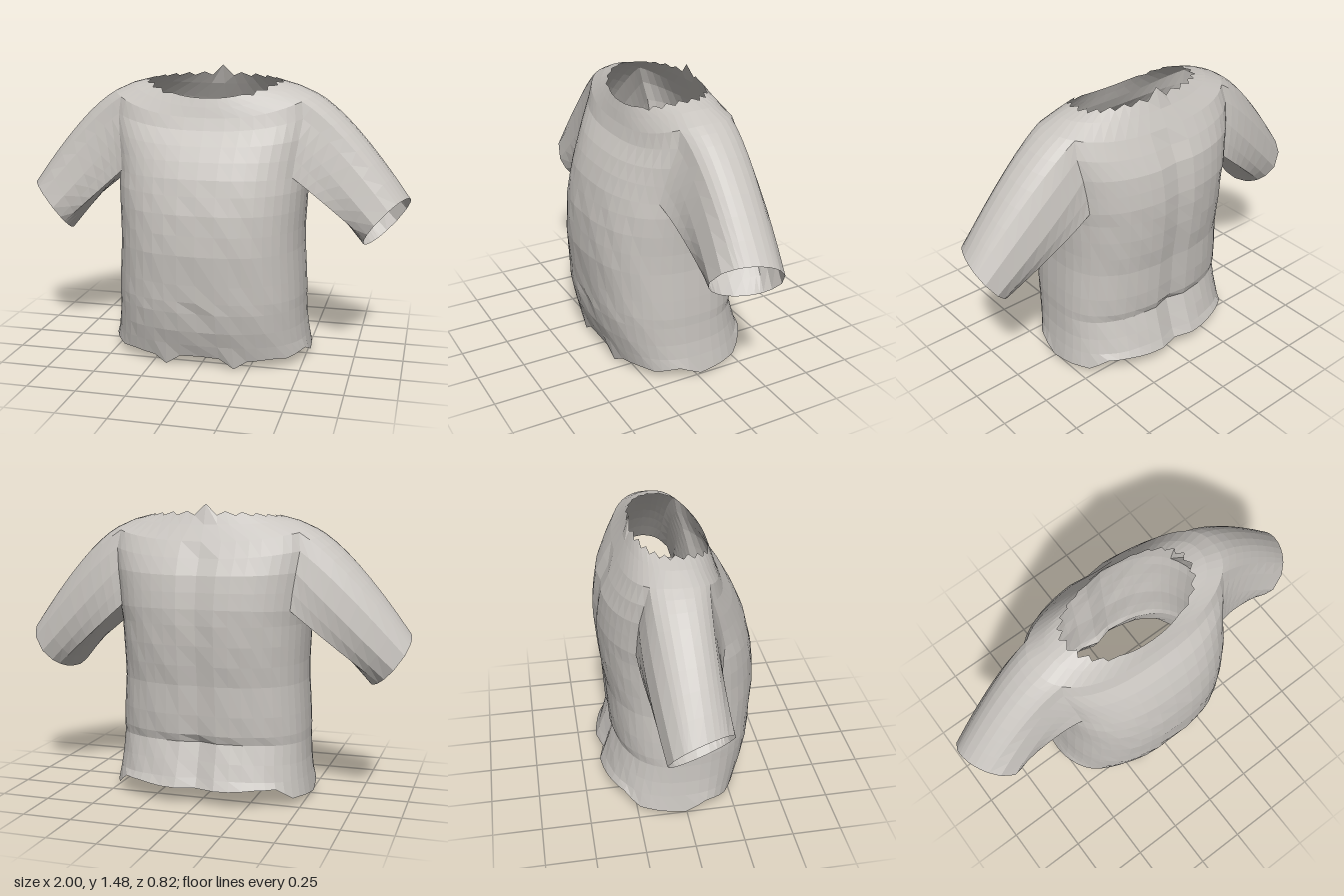
import * as THREE from 'three';

const COLS = 48, HALF = COLS / 2, ARM = 4;   // columns round the body, armhole half-width in columns
const ARM_LOW = 10, ARM_TOP = 14;            // body rows bounding the armholes

// Body rows: side y, front y, back y, half width, front z, back z
const ROWS = [
  [0.05, 0.05, 0.05, 0.52, 0.32, -0.41],
  [0.12, 0.12, 0.14, 0.505, 0.345, -0.39],
  [0.20, 0.20, 0.22, 0.495, 0.37, -0.365],
  [0.30, 0.30, 0.31, 0.49, 0.39, -0.335],
  [0.35, 0.36, 0.35, 0.49, 0.395, -0.347],
  [0.45, 0.45, 0.45, 0.485, 0.40, -0.355],
  [0.60, 0.60, 0.60, 0.475, 0.41, -0.36],
  [0.70, 0.70, 0.70, 0.475, 0.405, -0.375],
  [0.80, 0.80, 0.80, 0.48, 0.395, -0.385],
  [0.90, 0.89, 0.90, 0.485, 0.375, -0.39],
  [0.97, 0.97, 0.98, 0.49, 0.355, -0.39],
  [1.06, 1.05, 1.06, 0.50, 0.32, -0.38],
  [1.16, 1.12, 1.14, 0.515, 0.28, -0.365],
  [1.27, 1.19, 1.22, 0.53, 0.225, -0.325],
  [1.36, 1.25, 1.30, 0.52, 0.20, -0.28],
  [1.40, 1.30, 1.38, 0.43, 0.185, -0.235],
  [1.425, 1.345, 1.445, 0.33, 0.17, -0.20],
];

// Torn hem heights from front centre to back centre
const HEM = [0.055, 0.05, 0, 0.04, 0.045, 0.05, 0.05, 0.045, 0.055, 0.065, 0.07, 0.05, 0.02,
  0.03, 0.035, 0.04, 0.04, 0.07, 0.1, 0.1, 0.1, 0.095, 0.09, 0.09, 0.09];

const spow = (v, e) => Math.sign(v) * Math.pow(Math.abs(v), e);
const wrap = (c) => (c + COLS) % COLS;
// Columns counted from the front centre, equal on both sides
const fromFront = (c) => {
  const d = Math.abs(c - COLS / 4);
  return Math.min(d, COLS - d);
};

function bodyRings() {
  const rings = ROWS.map(([ySide, yFront, yBack, w, zf, zb], r) => {
    const ring = [];
    const zc = r < ARM_LOW ? -0.01 : -0.035;
    const e = r <= ARM_TOP ? 0.8 : 0.9;
    for (let c = 0; c < COLS; c++) {
      const a = (c / COLS) * Math.PI * 2, s = Math.sin(a), j = fromFront(c);
      const y = ySide + ((s > 0 ? yFront : yBack) - ySide) * s * s;
      const p = new THREE.Vector3(w * spow(Math.cos(a), e), y,
        zc + Math.abs((s > 0 ? zf : zb) - zc) * spow(s, e));
      // Soft uneven folds
      if (r > 0 && r < ARM_LOW) p.z *= 1 + 0.005 * Math.sin(j * 1.9 + r * 2.3);
      // Spine groove, deeper below the waist, and a navel dimple
      if (j === HALF && r < ARM_TOP) p.z += r < 4 ? 0.03 : 0.014;
      if (j === 0 && r === 3) p.z -= 0.012;
      if (r === 0) p.y = HEM[j];
      ring.push(p);
    }
    return ring;
  });
  // Ragged teeth round the sides and back of the neck
  const top = rings.length - 1;
  rings[top].forEach((p, c) => {
    const j = fromFront(c);
    if (j > 4) p.lerpVectors(rings[top - 1][c], p.clone(), j % 2 ? 0.7 : 1);
    if (j === HALF) p.y += 0.035;
  });
  return rings;
}

// Join closed rings of points into a surface; side -1 mirrors it in x
function loft(rings, side = 1, skip = () => false) {
  const n = rings[0].length, index = [];
  for (let r = 0; r < rings.length - 1; r++) {
    for (let c = 0; c < n; c++) {
      if (skip(r, c)) continue;
      const d = (c + 1) % n;
      const a = r * n + c, b = r * n + d, e = a + n, f = b + n;
      if (side > 0) index.push(a, e, f, a, f, b);
      else index.push(a, f, e, a, b, f);
    }
  }
  const points = rings.flat().map((p) => new THREE.Vector3(p.x * side, p.y, p.z));
  const geometry = new THREE.BufferGeometry().setFromPoints(points);
  geometry.setIndex(index);
  geometry.computeVertexNormals();
  return geometry;
}

// Sleeve rings run from the armhole edge to a slanted cuff
function sleeveRings(body) {
  const hole = [];
  for (let c = -ARM; c < ARM; c++) hole.push(body[ARM_LOW][wrap(c)]);
  for (let r = ARM_LOW; r < ARM_TOP; r++) hole.push(body[r][ARM]);
  for (let c = ARM; c > -ARM; c--) hole.push(body[ARM_TOP][wrap(c)]);
  for (let r = ARM_TOP; r > ARM_LOW; r--) hole.push(body[r][wrap(-ARM)]);

  const curves = hole.map((p) => {
    const a = Math.atan2(p.y - 1.165, p.z + 0.035);
    const u = Math.cos(a), v = Math.sin(a);
    const cuff = new THREE.Vector3(0.89 - 0.045 * u + 0.1 * v, 0.73 + 0.125 * v + 0.025 * u, -0.01 + 0.165 * u);
    // Round the shoulder outwards and draw the upper arm backwards
    const lift = Math.max(v, 0);
    const mid = p.clone().lerp(cuff, 0.32);
    mid.x += 0.03 * lift;
    mid.y += 0.07 * lift;
    mid.z -= 0.035 * Math.abs(u);
    return new THREE.QuadraticBezierCurve3(p, mid, cuff);
  });
  const rings = [];
  for (let i = 0; i <= 8; i++) rings.push(curves.map((k) => k.getPoint(i / 8)));
  return rings;
}

export function createModel() {
  const cloth = new THREE.MeshStandardMaterial({ color: 0xc8c4bf, side: THREE.DoubleSide, flatShading: true });
  cloth.name = 'pale grey cloth';
  const model = new THREE.Group();
  model.name = 'shirt';
  const add = (name, geometry) => {
    const mesh = new THREE.Mesh(geometry, cloth);
    mesh.name = name;
    model.add(mesh);
  };

  // Body with both armholes left open
  const body = bodyRings();
  const inArmhole = (r, c) => {
    if (r < ARM_LOW || r >= ARM_TOP) return false;
    const left = c < ARM || c >= COLS - ARM;
    const right = c >= HALF - ARM && c < HALF + ARM;
    return left || right;
  };
  add('shirtBody', loft(body, 1, inArmhole));

  // Sleeves
  const sleeve = sleeveRings(body);
  add('leftSleeve', loft(sleeve, 1));
  add('rightSleeve', loft(sleeve, -1));
  return model;
}
